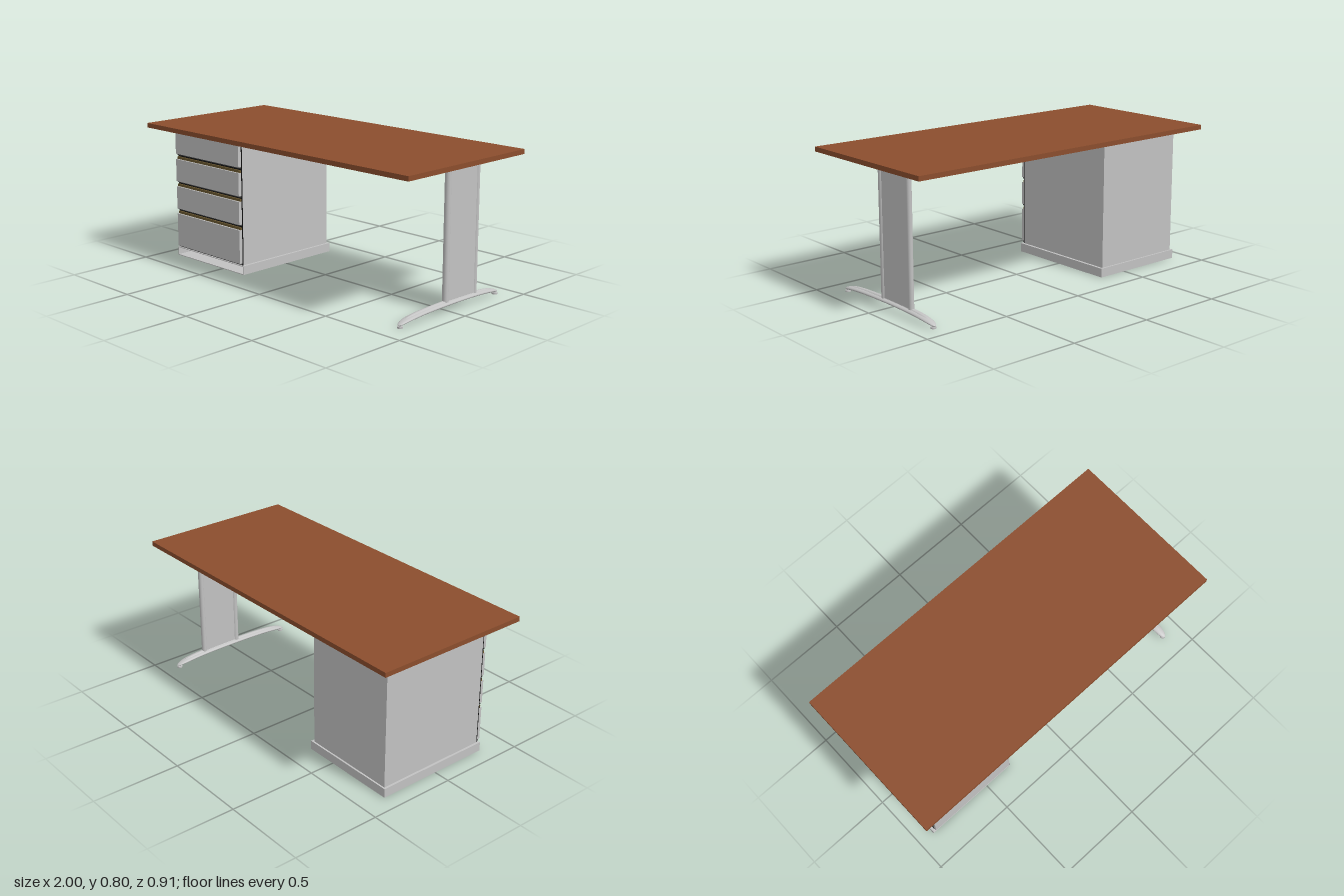
import * as THREE from 'three';

const mat = (name, color) => Object.assign(new THREE.MeshStandardMaterial({ color }), { name });

export function createModel() {
  const wood = mat('brownWood', 0x8b4d2d);
  const grey = mat('lightGrey', 0xc2c2c2);
  const black = mat('black', 0x111111);
  const olive = mat('oliveRail', 0x6b5830);
  const dark = mat('darkGrey', 0x4a4a4a);

  const desk = new THREE.Group();
  desk.name = 'desk';
  const add = (parent, name, geometry, material) => {
    const mesh = new THREE.Mesh(geometry, material);
    mesh.name = name;
    parent.add(mesh);
    return mesh;
  };
  // Box given by its extents
  const box = (parent, name, material, x0, x1, y0, y1, z0, z1) => {
    const mesh = add(parent, name, new THREE.BoxGeometry(x1 - x0, y1 - y0, z1 - z0), material);
    mesh.position.set((x0 + x1) / 2, (y0 + y1) / 2, (z0 + z1) / 2);
    return mesh;
  };
  // Rounded bar along z; each section is [z, y, halfWidth, heightAbove, heightBelow]
  const loft = (sections, sides = 20) => {
    const pos = [], index = [];
    sections.forEach(([z, y, w, up, down], i) => {
      for (let j = 0; j < sides; j++) {
        const t = (j / sides) * Math.PI * 2, s = Math.sin(t);
        pos.push(w * Math.cos(t), y + s * (s > 0 ? up : down), z);
        if (i === sections.length - 1) continue;
        const k = (j + 1) % sides, a = i * sides + j, b = i * sides + k;
        index.push(a, b, a + sides, b, b + sides, a + sides);
      }
    });
    const g = new THREE.BufferGeometry();
    g.setAttribute('position', new THREE.Float32BufferAttribute(pos, 3));
    g.setIndex(index);
    g.computeVertexNormals();
    return g;
  };

  box(desk, 'tabletop', wood, -1, 1, 0.772, 0.798, -0.457, 0.455);

  // Drawer cabinet
  const cabinet = new THREE.Group();
  cabinet.name = 'cabinet';
  desk.add(cabinet);
  const L = -0.892, R = -0.335;
  box(cabinet, 'cabinetBody', grey, L, R, 0.05, 0.772, -0.345, 0.315);
  box(cabinet, 'cabinetFrontRecess', black, L, R, 0.05, 0.772, 0.315, 0.32);
  [[0.063, 0.258], [0.289, 0.422], [0.453, 0.585], [0.617, 0.752]].forEach(([y0, y1]) => {
    box(cabinet, 'drawerFront', grey, L + 0.003, R - 0.003, y0, y1, 0.32, 0.34);
    box(cabinet, 'drawerRail', olive, L + 0.003, R - 0.003, y1, y1 + 0.014, 0.32, 0.33);
    box(cabinet, 'drawerLip', dark, L + 0.003, R - 0.003, y0 - 0.007, y0, 0.32, 0.332);
  });

  // Plinth, open at the front
  const bl = -0.905, br = -0.32, bz0 = -0.355, bz1 = 0.33;
  box(cabinet, 'plinthFloor', grey, bl, br, 0, 0.004, bz0, bz1);
  box(cabinet, 'plinthTop', grey, bl, br, 0.047, 0.051, bz0, bz1);
  box(cabinet, 'plinthBack', grey, bl, br, 0.004, 0.047, bz0, bz0 + 0.006);
  box(cabinet, 'plinthBackLining', dark, bl + 0.004, br - 0.004, 0.004, 0.047, bz0 + 0.006, bz0 + 0.01);
  box(cabinet, 'plinthRightSide', grey, bl, bl + 0.004, 0.004, 0.047, bz0 + 0.006, bz1);
  box(cabinet, 'plinthLeftSide', grey, br - 0.004, br, 0.004, 0.047, bz0 + 0.006, bz1);

  // T-shaped leg
  const leg = new THREE.Group();
  leg.name = 'leg';
  leg.position.x = 0.885;
  desk.add(leg);
  const midZ = -0.015;
  [[0.02, 0.017], [-0.214, 0.015]].forEach(([z, r]) => {
    const post = add(leg, 'legPost', new THREE.CylinderGeometry(r, r, 0.695, 24), grey);
    post.position.set(0, 0.3975, z);
  });
  box(leg, 'legPanel', grey, -0.01, 0.01, 0.05, 0.74, -0.21, 0.015);

  // Arched foot, tapering to rounded tips
  const foot = [], strip = [], bracket = [];
  const n = 32;
  for (let i = 0; i <= n; i++) {
    const u = -Math.cos((i / n) * Math.PI), a = Math.abs(u);
    const round = Math.sqrt(Math.max(0, 1 - a ** 10));
    const y = 0.044 - 0.012 * a ** 2 - 0.016 * a ** 6;
    foot.push([midZ + 0.397 * u, y, 0.027 * round, 0.012 * round, 0.011 * round]);
    strip.push([midZ + 0.35 * u, 0.05 - 0.012 * a ** 2 - 0.005 * a ** 6, 0.013 * round, 0.011 * round, 0.008 * round]);
    const depth = 0.037 * Math.sqrt(Math.max(0, 1 - a ** 3));
    bracket.push([midZ + 0.4 * u, 0.7718, 0.028 * round, 0, depth]);
  }
  add(leg, 'foot', loft(foot), grey);
  add(leg, 'footRidge', loft(strip), grey);
  add(leg, 'topBracket', loft(bracket), black);

  // Levelling pads
  [0.366, -0.396].forEach((z) => {
    const pad = add(leg, 'footPad', new THREE.CylinderGeometry(0.015, 0.015, 0.009, 20), grey);
    pad.position.set(0, 0.0045, z);
    const stem = add(leg, 'padStem', new THREE.CylinderGeometry(0.008, 0.008, 0.012, 16), grey);
    stem.position.set(0, 0.012, z);
  });

  return desk;
}
